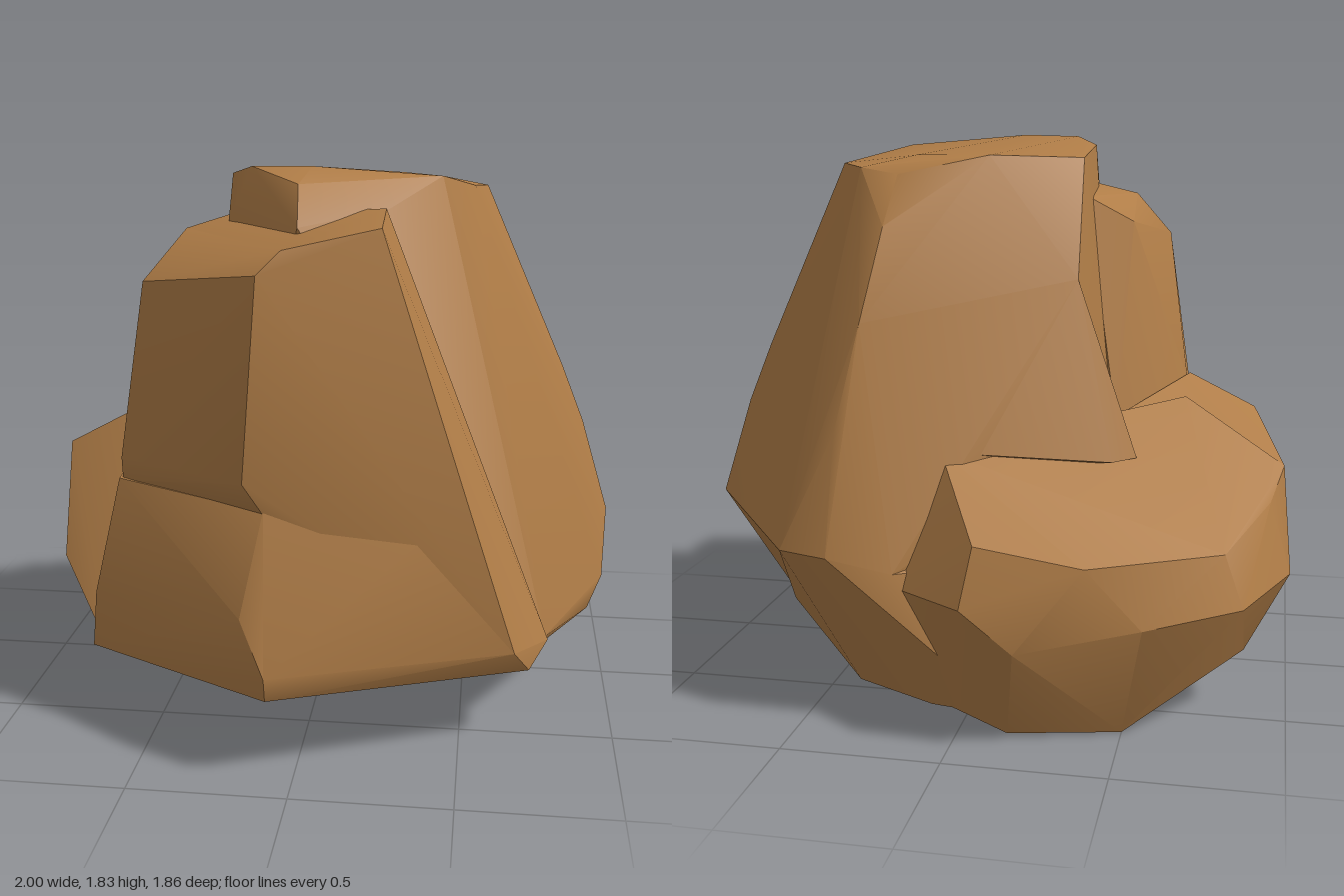
import * as THREE from 'three';
import { ConvexGeometry } from 'three/addons/geometries/ConvexGeometry.js';
import { toCreasedNormals } from 'three/addons/utils/BufferGeometryUtils.js';

const stone = new THREE.MeshStandardMaterial({ color: 0xb07d47 });
stone.name = 'sandstone';

// A chunk of rock: the hull of a few corners, soft on shallow bends, sharp on steep ones
function chunk(name, corners) {
  const hull = new ConvexGeometry(corners.map((c) => new THREE.Vector3(...c)));
  const mesh = new THREE.Mesh(toCreasedNormals(hull, 0.55), stone);
  mesh.name = name;
  return mesh;
}

export function createModel() {
  const rock = new THREE.Group();
  rock.name = 'boulder';

  // Tall core with the plateau on top
  rock.add(chunk('mainBoulder', [
    // plateau
    [0.54, 1.73, -0.12], [0.5, 1.75, 0.12], [0.4, 1.79, 0.25], [0, 1.825, 0.36],
    [-0.2, 1.82, 0.32], [-0.28, 1.79, 0.22], [-0.28, 1.75, -0.08], [0, 1.76, -0.28],
    [0.25, 1.76, -0.24], [0.28, 1.7, -0.38], [0.42, 1.72, -0.32],
    // front of the crown
    [-0.03, 1.78, 0.48], [-0.02, 1.66, 0.58], [-0.28, 1.66, 0.3], [0.24, 1.7, 0.42],
    // back and right flanks
    [-0.35, 0.8, -0.3], [-0.3, 1.37, -0.33], [0.09, 0.85, -0.62], [-0.38, 0.9, -0.08],
    [0.3, 1.54, -0.49], [0.34, 1.25, -0.63], [0.4, 0.92, -0.72],
    [0.82, 1.1, -0.14], [0.9, 0.9, -0.15],
    // widest line
    [1, 0.57, -0.17], [0.57, 0.55, -0.77], [0.4, 0.55, -0.83], [0.2, 0.5, -0.79],
    [0.98, 0.38, 0.02], [0.77, 0.32, 0.44],
    // underside
    [0.93, 0.28, 0.08], [0.72, 0.25, 0.42], [0.64, 0.27, -0.4], [-0.2, 0.25, -0.3],
    [-0.4, 0.25, 0.3],
  ]));

  // Shoulder flaring down from the core beside the groove
  rock.add(chunk('backShoulder', [
    [-0.5, 0.8, -0.36], [-0.43, 0.8, -0.44], [0.09, 0.85, -0.62], [-0.3, 1.37, -0.33],
    [0, 1.3, -0.4], [-0.4, 0.9, -0.08], [0, 0.7, -0.2],
  ]));

  // Undercut joining the core to the low rock, its front running diagonally
  rock.add(chunk('rearUndercut', [
    [0.4, 0.55, -0.83], [0.57, 0.55, -0.77], [0.2, 0.5, -0.79], [0.64, 0.28, -0.45],
    [0.36, 0.08, -0.62], [-0.2, 0.11, -0.15], [-0.15, 0.27, -0.04], [-0.16, 0.05, -0.75],
    [0.1, 0.05, -0.7], [-0.1, 0.5, -0.6],
  ]));

  // Front slab above the ledge, its right side running down to the foot
  rock.add(chunk('frontSlabUpper', [
    [-0.28, 1.62, 0], [-0.42, 1.62, 0.3], [-0.28, 1.66, 0.2], [-0.05, 1.61, 0.71],
    [0.24, 1.71, 0.48], [0.24, 1.67, 0.64],
    [-0.43, 1.53, 0.1], [-0.53, 1.47, 0.46], [-0.12, 1.54, 0.75],
    [-0.62, 0.97, 0.2], [-0.61, 0.9, 0.5], [-0.16, 0.92, 0.8],
    [-0.61, 0.82, 0.49], [-0.1, 0.82, 0.78],
    [0.67, 0.34, 0.63], [0.78, 0.32, 0.46], [-0.4, 0.85, -0.08],
  ]));

  // Front slab below the ledge, flaring to the foot
  rock.add(chunk('frontSlabLower', [
    [-0.63, 0.85, 0.2], [-0.62, 0.83, 0.5], [-0.1, 0.83, 0.78], [0.51, 0.83, 0.6],
    [-0.7, 0.45, 0.55], [-0.16, 0.52, 0.88],
    [-0.71, 0.27, 0.57], [-0.08, 0.35, 0.93], [-0.08, 0.27, 0.91],
    [0.67, 0.34, 0.63], [0.78, 0.32, 0.46], [0.72, 0.25, 0.55],
    [-0.7, 0.27, 0.3], [0.3, 0.25, 0], [-0.4, 0.26, 0],
  ]));

  // Low rock hugging the back
  rock.add(chunk('lowBackRock', [
    // sloping top
    [-0.63, 0.94, 0], [0.09, 0.85, -0.6], [-0.97, 0.74, -0.12],
    [-0.93, 0.66, -0.3], [-0.8, 0.57, -0.61], [-0.4, 0.57, -0.84], [-0.07, 0.63, -0.87],
    // widest line
    [-0.04, 0.45, -0.93], [-0.2, 0.32, -0.92], [-0.57, 0.38, -0.81], [-0.86, 0.4, -0.62],
    [-1, 0.42, -0.29], [-0.98, 0.45, -0.13], [0.18, 0.45, -0.78],
    // base
    [-0.84, 0.25, -0.03], [-0.15, 0.27, -0.04], [-0.86, 0.19, -0.4], [-0.6, 0.08, -0.17],
    [-0.5, 0, -0.68], [-0.16, 0.015, -0.79], [0.1, 0.06, -0.68], [-0.2, 0.11, -0.15],
  ]));

  // Arm of the low rock wrapping round to the slab
  rock.add(chunk('lowSideArm', [
    [-0.63, 0.99, 0.2], [-0.86, 0.87, 0.23], [-0.97, 0.74, -0.12], [-0.98, 0.45, -0.13],
    [-1, 0.42, -0.29], [-0.86, 0.5, 0.36], [-0.7, 0.27, 0.5], [-0.84, 0.25, -0.03],
    [-0.4, 0.27, 0], [-0.4, 0.88, -0.1],
  ]));

  return rock;
}
